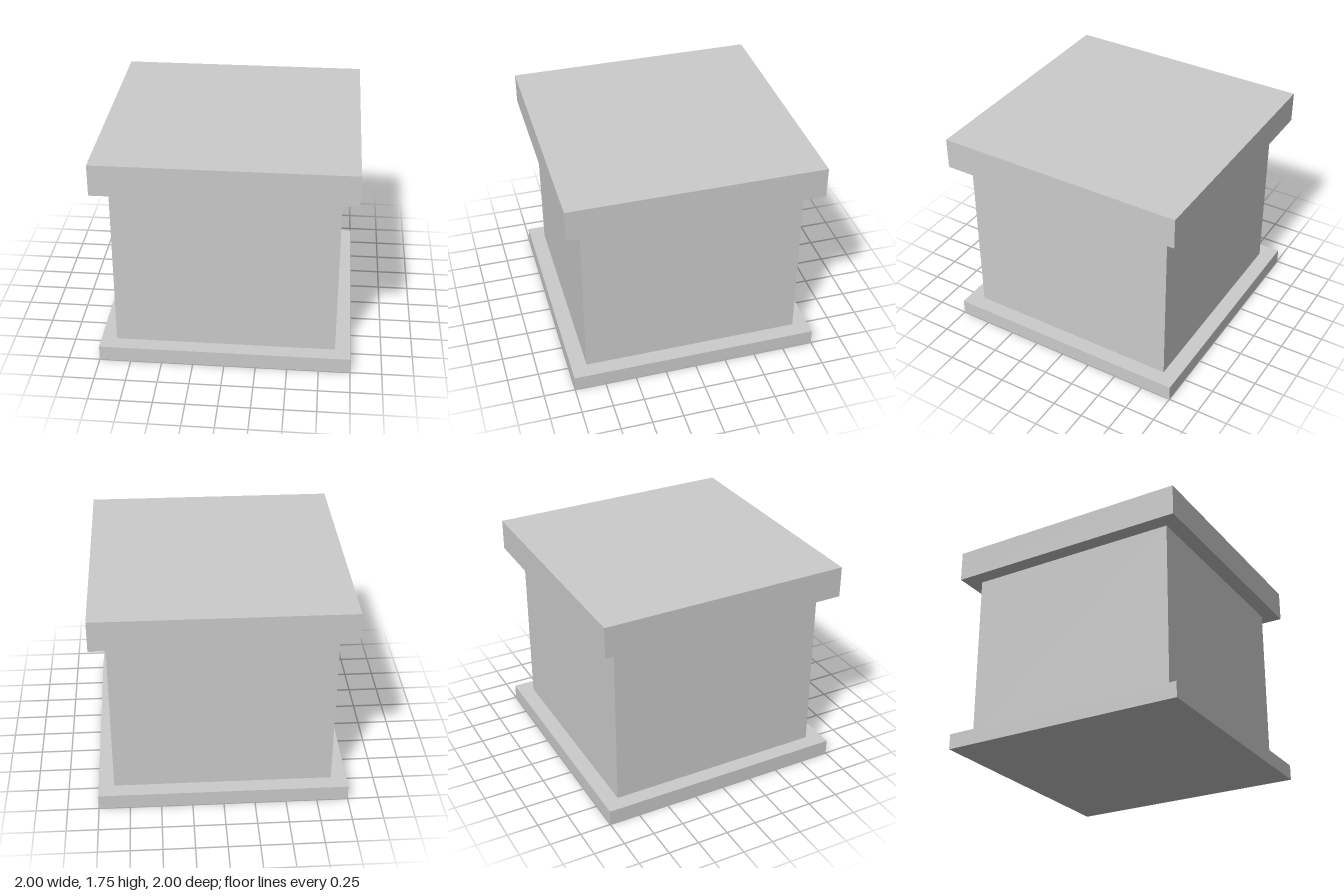
import * as THREE from 'three';

export function createModel() {
  const model = new THREE.Group();
  model.name = 'pedestal';
  const material = new THREE.MeshStandardMaterial({ color: 0xcccccc, flatShading: true });

  // Square block spanning bottom to top
  const addBlock = (name, width, bottom, top) => {
    const mesh = new THREE.Mesh(new THREE.BoxGeometry(width, top - bottom, width), material);
    mesh.name = name;
    mesh.position.y = (bottom + top) / 2;
    model.add(mesh);
  };

  addBlock('base', 2, 0, 0.125);
  addBlock('body', 1.75, 0.125, 1.5);
  addBlock('topSlab', 2, 1.5, 1.75);

  return model;
}
